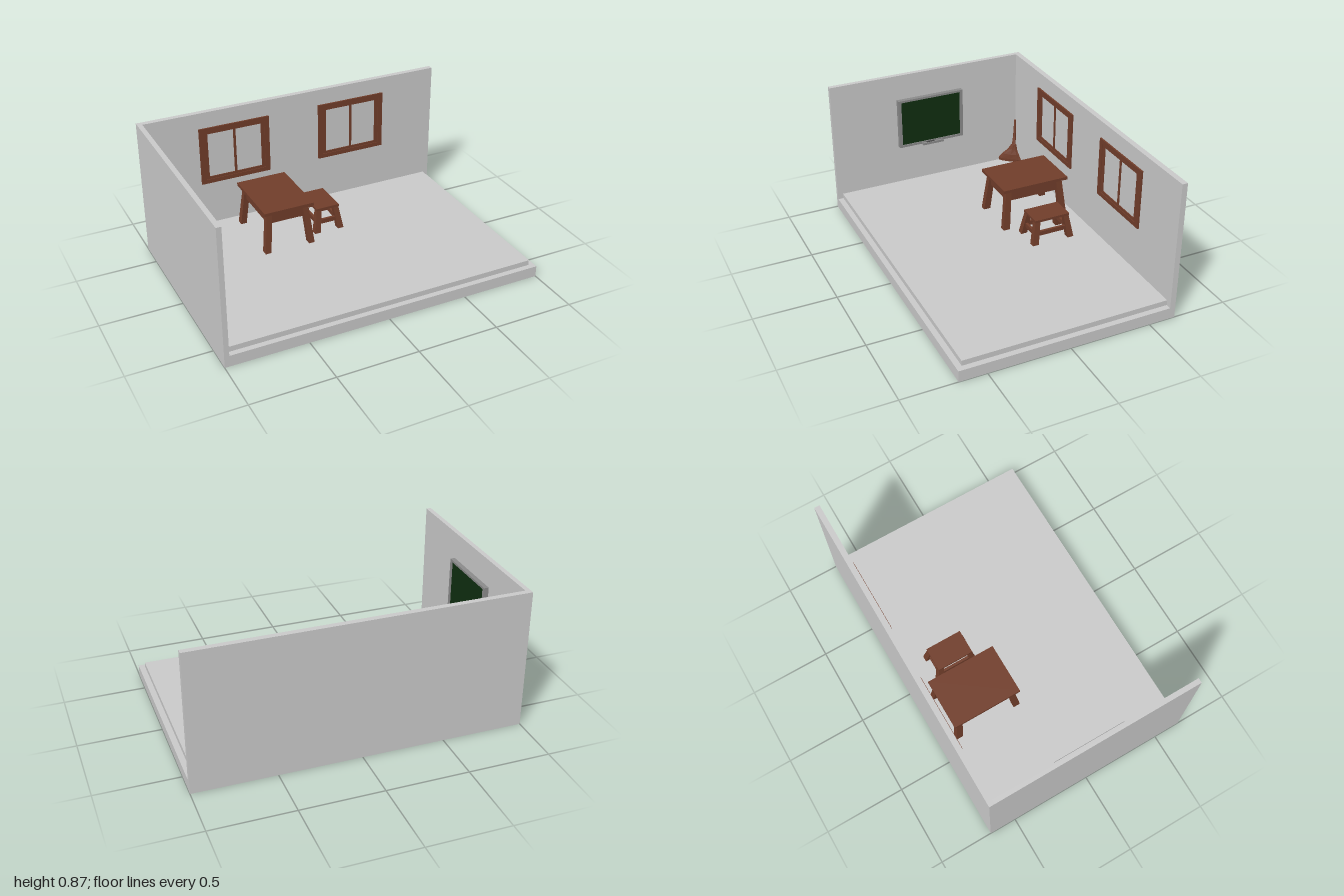
import * as THREE from 'three';

const mat = (name, color) => Object.assign(new THREE.MeshStandardMaterial({ color }), { name });

export function createModel() {
  const plaster = mat('plaster', 0xc9c9c9);
  const wood = mat('wood', 0x703d2a);
  const slate = mat('slate green', 0x0f2d10);
  const metal = mat('grey trim', 0x8a8a8a);
  const dark = mat('dark grey', 0x4a4a4a);

  const root = new THREE.Group();
  root.name = 'classroomCorner';
  const group = (name) => {
    const g = new THREE.Group();
    g.name = name;
    root.add(g);
    return g;
  };
  const add = (parent, name, geo, material) => {
    const m = new THREE.Mesh(geo, material);
    m.name = name;
    parent.add(m);
    return m;
  };
  // Box given by its limits on each axis
  const box = (parent, name, material, x0, x1, y0, y1, z0, z1) => {
    const m = add(parent, name, new THREE.BoxGeometry(x1 - x0, y1 - y0, z1 - z0), material);
    m.position.set((x0 + x1) / 2, (y0 + y1) / 2, (z0 + z1) / 2);
    return m;
  };
  // Rectangular frame with a hole, in the xy plane, from z = 0 to depth
  const frameGeo = (w, h, iw, ih, depth, dy = 0) => {
    const rect = (P, a, b, oy) => {
      const p = new P();
      p.moveTo(-a / 2, oy - b / 2);
      p.lineTo(a / 2, oy - b / 2);
      p.lineTo(a / 2, oy + b / 2);
      p.lineTo(-a / 2, oy + b / 2);
      p.closePath();
      return p;
    };
    const s = rect(THREE.Shape, w, h, 0);
    s.holes.push(rect(THREE.Path, iw, ih, dy));
    return new THREE.ExtrudeGeometry(s, { depth, bevelEnabled: false });
  };

  // Room shell
  const room = group('room');
  box(room, 'base', plaster, -1, 1, 0, 0.07, -0.667, 0.667);
  box(room, 'floor', plaster, -0.97, 0.965, 0.07, 0.103, -0.633, 0.633);
  box(room, 'backWall', plaster, -1, 1, 0.07, 0.868, -0.667, -0.633);
  box(room, 'sideWall', plaster, -1, -0.97, 0.07, 0.868, -0.633, 0.667);

  // Windows
  for (const x of [-0.401, 0.399]) {
    const w = group('window');
    w.position.set(x, 0.577, -0.64);
    add(w, 'windowFrame', frameGeo(0.46, 0.376, 0.4, 0.322, 0.018), wood);
    add(w, 'windowSash', frameGeo(0.4, 0.322, 0.352, 0.292, 0.013), wood);
    box(w, 'mullion', wood, -0.0075, 0.0075, -0.148, 0.148, 0, 0.013);
  }

  // Blackboard on the side wall
  const board = group('blackboard');
  board.position.set(-0.97, 0.533, 0.001);
  board.rotation.y = Math.PI / 2;
  add(board, 'boardFrame', frameGeo(0.454, 0.335, 0.412, 0.305, 0.03, 0.001), metal);
  box(board, 'boardSurface', slate, -0.206, 0.206, -0.152, 0.154, 0, 0.024);
  box(board, 'trayShelf', metal, -0.073, 0.073, -0.168, -0.16, 0.03, 0.057);
  box(board, 'trayLip', metal, -0.073, 0.073, -0.16, -0.153, 0.052, 0.057);
  box(board, 'eraser', dark, -0.04, 0.012, -0.16, -0.153, 0.033, 0.044);

  // Four splayed legs: lo and hi give the inner and outer offsets at bottom and top
  const legs = (parent, y0, y1, lo, hi) => {
    for (const sx of [-1, 1]) for (const sz of [-1, 1]) {
      const geo = new THREE.BoxGeometry(1, 1, 1);
      const p = geo.attributes.position;
      for (let i = 0; i < p.count; i++) {
        const r = p.getY(i) < 0 ? lo : hi;
        const outX = p.getX(i) * sx > 0 ? 1 : 0;
        const outZ = p.getZ(i) * sz > 0 ? 1 : 0;
        p.setXYZ(i, sx * r.x[outX], p.getY(i) < 0 ? y0 : y1, sz * r.z[outZ]);
      }
      geo.computeVertexNormals();
      add(parent, 'leg', geo, wood);
    }
  };
  // Ring of four boards around the middle lines x and z
  const rails = (parent, name, x, z, y0, y1, t) => {
    for (const s of [-1, 1]) {
      box(parent, name, wood, -x, x, y0, y1, s * z - t, s * z + t);
      box(parent, name, wood, s * x - t, s * x + t, y0, y1, -z, z);
    }
  };

  // Table
  const table = group('table');
  table.position.set(-0.2615, 0, -0.3465);
  box(table, 'tableTop', wood, -0.161, 0.161, 0.363, 0.382, -0.22, 0.22);
  legs(table, 0.103, 0.363, { x: [0.126, 0.163], z: [0.178, 0.222] }, { x: [0.1, 0.136], z: [0.156, 0.192] });
  rails(table, 'apron', 0.119, 0.174, 0.286, 0.363, 0.008);

  // Stool
  const stool = group('stool');
  stool.position.set(0.043, 0, -0.347);
  box(stool, 'seat', wood, -0.077, 0.077, 0.248, 0.263, -0.116, 0.116);
  legs(stool, 0.103, 0.248, { x: [0.06, 0.098], z: [0.1, 0.14] }, { x: [0.04, 0.074], z: [0.08, 0.114] });
  rails(stool, 'rung', 0.069, 0.109, 0.153, 0.181, 0.008);

  // Broom in the corner, rows of: y, centre x, centre z, half width, half thickness
  const loft = (rows) => {
    const geo = new THREE.CylinderGeometry(1, 1, 1, 8, rows.length - 1).toNonIndexed();
    const p = geo.attributes.position;
    for (let i = 0; i < p.count; i++) {
      const [y, cx, cz, w, t] = rows[Math.round((p.getY(i) + 0.5) * (rows.length - 1))];
      const a = p.getX(i) * w, b = p.getZ(i) * t;
      p.setXYZ(i, cx + a * 0.65 + b * 0.76, y, cz - a * 0.76 + b * 0.65);
    }
    geo.computeVertexNormals();
    return geo;
  };
  const broom = group('broom');
  add(broom, 'bristles', loft([
    [0.104, -0.917, -0.566, 0.076, 0.012],
    [0.122, -0.917, -0.567, 0.08, 0.013],
    [0.155, -0.917, -0.574, 0.06, 0.013],
    [0.19, -0.917, -0.588, 0.033, 0.012],
    [0.225, -0.917, -0.598, 0.018, 0.011],
  ]), wood);
  add(broom, 'handle', loft([
    [0.22, -0.917, -0.597, 0.014, 0.01],
    [0.275, -0.932, -0.609, 0.01, 0.009],
    [0.33, -0.944, -0.617, 0.008, 0.008],
    [0.39, -0.957, -0.625, 0.007, 0.007],
  ]), wood);

  return root;
}
